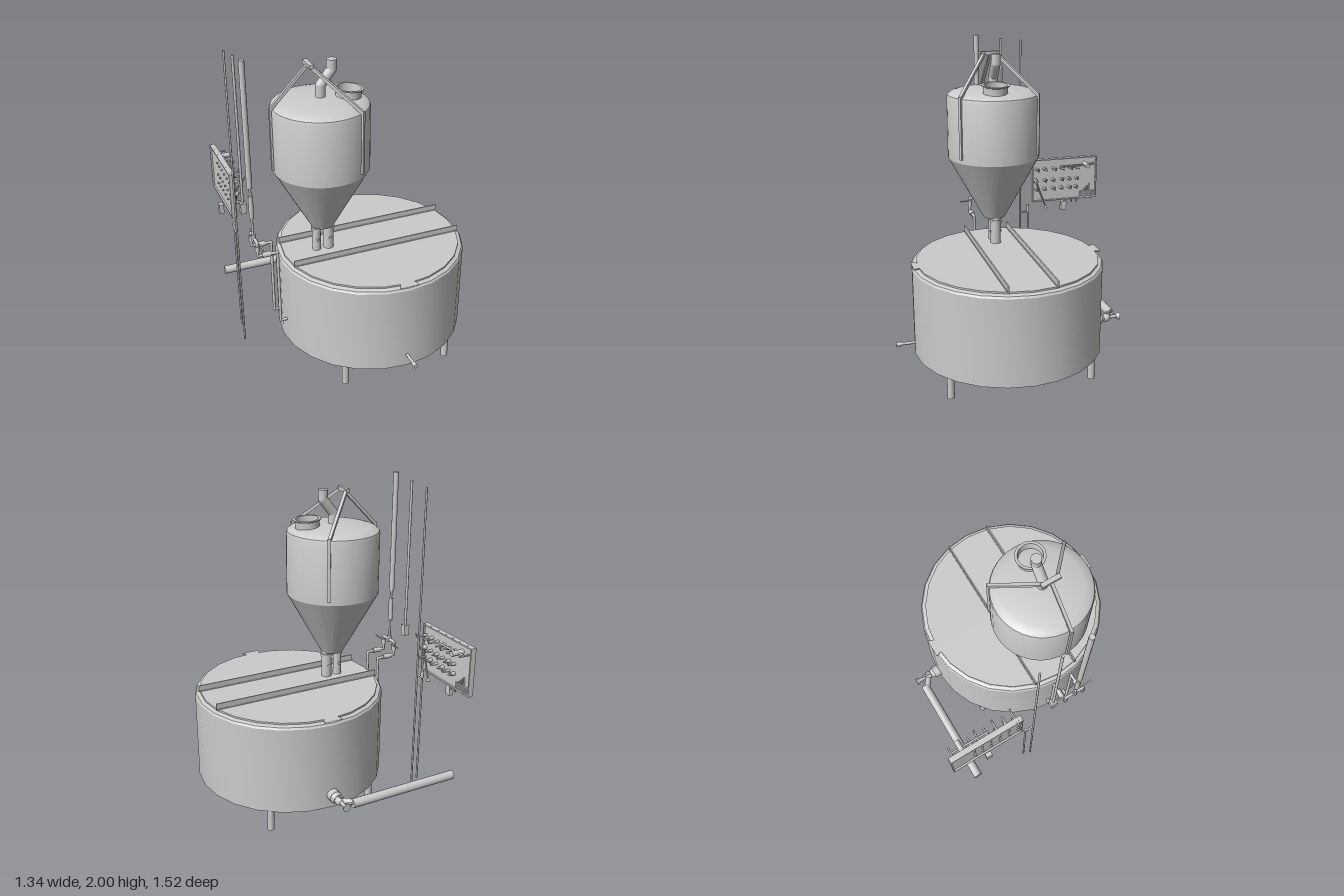
import * as THREE from 'three';
import { toCreasedNormals } from 'three/addons/utils/BufferGeometryUtils.js';

const mat = new THREE.MeshStandardMaterial({ color: 0xcccccc, side: THREE.DoubleSide });
const V = (p) => new THREE.Vector3(...p);

export function createModel() {
  const root = new THREE.Group();

  const add = (name, geo, pos = [0, 0, 0], parent = root) => {
    const m = new THREE.Mesh(geo, mat);
    m.name = name;
    m.position.set(...pos);
    parent.add(m);
    return m;
  };
  const group = (name) => {
    const g = new THREE.Group();
    g.name = name;
    root.add(g);
    return g;
  };
  const box = (name, size, pos, parent) => add(name, new THREE.BoxGeometry(...size), pos, parent);
  // cylinder between two points
  const rod = (name, a, b, r, parent, r2 = r, sides = 14) => {
    const d = V(b).sub(V(a));
    const m = add(name, new THREE.CylinderGeometry(r2, r, d.length(), sides), V(a).add(V(b)).multiplyScalar(0.5).toArray(), parent);
    m.quaternion.setFromUnitVectors(new THREE.Vector3(0, 1, 0), d.normalize());
    return m;
  };
  // pipe through a list of points with ball elbows
  const pipe = (name, pts, r, parent) => {
    for (let i = 0; i < pts.length - 1; i++) {
      rod(name, pts[i], pts[i + 1], r, parent);
      if (i) add(name + 'Elbow', new THREE.SphereGeometry(r, 12, 8), pts[i], parent);
    }
  };
  // rectangular strap between two points
  const strap = (name, a, b, w, t, parent) => {
    const d = V(b).sub(V(a));
    const m = box(name, [w, t, d.length()], V(a).add(V(b)).multiplyScalar(0.5).toArray(), parent);
    m.lookAt(V(b));
    return m;
  };
  const lathe = (name, pts, sides, pos, parent) =>
    add(name, toCreasedNormals(new THREE.LatheGeometry(pts.map((p) => new THREE.Vector2(...p)), sides), 0.45), pos, parent);

  // Main tank with bevelled shoulder and flat lid
  const TX = 0.095, TZ = 0.077;
  const tank = group('tank');
  lathe('tankBody', [[0, 0.215], [0.57, 0.215], [0.57, 0.745], [0.562, 0.757], [0.54, 0.765], [0.54, 0.775], [0, 0.775]], 24, [TX, 0, TZ], tank);
  for (const sx of [-1, 1]) for (const sz of [-1, 1]) {
    const x = TX + sx * 0.33, z = TZ + sz * 0.425;
    rod('tankLeg', [x, 0.08, z], [x, 0.22, z], 0.021, tank);
  }
  // Half-round lid handles at front and back
  for (const s of [-1, 1]) {
    const h = add('lidHandle', new THREE.CylinderGeometry(0.055, 0.055, 0.006, 16, 1, false, Math.PI / 2, Math.PI), [TX, 0.772, TZ + s * 0.57], tank);
    if (s < 0) h.rotation.y = Math.PI;
  }
  // Angle-section rails across the lid
  for (const z of [-0.065, 0.215]) {
    box('lidRail', [1.06, 0.04, 0.008], [0.095, 0.792, z], tank);
    box('lidRailFoot', [1.06, 0.006, 0.014], [0.095, 0.777, z], tank);
  }
  // Small drain at the front
  rod('drainPipe', [TX, 0.29, 0.63], [TX, 0.29, 0.755], 0.009, tank);
  rod('drainNozzle', [TX, 0.29, 0.725], [TX, 0.29, 0.76], 0.013, tank);

  // Hopper with cone, shoulder and domed top
  const HX = -0.207, HZ = 0.078;
  const hopper = group('hopper');
  lathe('hopperBody', [[0, 0.937], [0.067, 0.937], [0.277, 1.32], [0.277, 1.685], [0.272, 1.7], [0.255, 1.713], [0.22, 1.723], [0.12, 1.735], [0, 1.74]], 40, [HX, 0, HZ], hopper);
  for (const [x, r] of [[-0.245, 0.026], [-0.17, 0.032]]) {
    rod('outletPipe', [x, 0.77, HZ], [x, 0.945, HZ], r, hopper);
    rod('outletCollar', [x, 0.91, HZ], [x, 0.925, HZ], r + 0.006, hopper);
    rod('outletBolt', [x, 0.85, HZ - 0.037], [x, 0.85, HZ + 0.037], 0.008, hopper);
  }
  // Bent vent on top
  pipe('ventPipe', [[-0.205, 1.72, HZ], [-0.205, 1.8, HZ], [-0.138, 1.885, HZ], [-0.138, 1.942, HZ]], 0.029, hopper);
  // Open filling inlet with a flared rim
  const inlet = lathe('fillingInlet', [[0.072, -0.025], [0.072, 0.022], [0.083, 0.026], [0.083, 0.032], [0.068, 0.032], [0.066, -0.02]], 28, [-0.05, 1.745, 0.104], hopper);
  inlet.rotation.z = -0.08;
  // Lifting frame: head plate, three arms and straps down the wall
  const APEX = [-0.272, 1.93, HZ];
  box('liftingHead', [0.025, 0.022, 0.11], APEX, hopper);
  const arms = [[-0.493, HZ, 0], [-0.052, 0.313, 0.035], [-0.052, -0.157, -0.035]];
  for (const [x, z, dz] of arms) {
    const head = [APEX[0], APEX[1], HZ + dz];
    strap('liftingArm', head, [x, 1.705, z], 0.018, 0.018, hopper);
    const s = box('liftingStrap', [0.012, 0.37, 0.018], [x, 1.53, z], hopper);
    s.rotation.y = -Math.atan2(z - HZ, x - HX);
  }

  // Heating line: two pipes to the tank joined into a riser
  const heating = group('heatingLine');
  for (const s of [-1, 1]) {
    const z = 0.076 + s * 0.06;
    pipe('heatingPipe', [[-0.46, 0.36, z], [-0.507, 0.36, z], [-0.507, 0.845, z], [-0.625, 0.848, z], [-0.625, 0.935, z], [-0.625, 0.935, 0.076]], 0.009, heating);
    rod('pipeCoupling', [-0.6, 0.847, z], [-0.545, 0.847, z], 0.016, heating);
    rod('pipeValve', [-0.625, 0.88, z], [-0.625, 0.915, z], 0.014, heating);
    rod('valveStem', [-0.625, 0.92, z], [-0.607, 0.92, z], 0.006, heating);
    strap('valveHandle', [-0.609, 0.92, z], [-0.609, 0.92, z + s * 0.07], 0.008, 0.006, heating);
  }
  rod('riserThin', [-0.63, 0.935, 0.076], [-0.63, 1.28, 0.076], 0.007, heating);
  rod('riserCoupling', [-0.63, 1.07, 0.076], [-0.63, 1.21, 0.076], 0.014, heating);
  rod('riserTee', [-0.627, 0.92, 0.076], [-0.627, 0.96, 0.076], 0.014, heating);
  rod('riserThick', [-0.632, 1.26, 0.076], [-0.632, 2, 0.076], 0.016, heating);

  // Service poles
  const poles = group('servicePoles');
  rod('sensorPole', [-0.635, 1.08, -0.087], [-0.635, 1.975, -0.087], 0.008, poles);
  box('sensorBox', [0.035, 0.065, 0.038], [-0.635, 1.052, -0.087], poles);
  rod('tallPole', [-0.648, 0, -0.22], [-0.648, 1.96, -0.22], 0.006, poles);
  rod('shortPole', [-0.648, 0.09, -0.275], [-0.648, 0.84, -0.275], 0.006, poles);
  rod('shortPoleCap', [-0.648, 0.8, -0.275], [-0.648, 0.845, -0.275], 0.01, poles);
  rod('poleLink', [-0.648, 0.8, -0.275], [-0.648, 0.8, -0.215], 0.006, poles);

  // Control panel facing +x, with knobs and levers
  const panel = group('controlPanel');
  const PX = -0.635;
  box('panelBoard', [0.012, 0.295, 0.462], [PX, 1.018, -0.529], panel);
  for (const y of [0.875, 1.161]) box('panelEdge', [0.034, 0.008, 0.462], [PX, y, -0.529], panel);
  for (const z of [-0.302, -0.756]) box('panelEdge', [0.034, 0.295, 0.008], [PX, 1.018, z], panel);
  [-0.325, -0.385, -0.445, -0.505, -0.56, -0.61].forEach((z, i) => {
    [1.1, 1.02, 0.96].forEach((y, j) => {
      const end = j ? -0.585 : -0.562;
      rod('knobStem', [PX - 0.017, y, z], [end, y, z], 0.006, panel, 0.006, 8);
      rod('knobBase', [PX, y, z], [-0.6, y, z], (i + j) % 2 ? 0.012 : 0.009, panel, undefined, 10);
      if ((i + j) % 2 === 0) strap('knobLever', [end, y - 0.005, z], [end + 0.012, y + 0.02, z], 0.01, 0.006, panel);
    });
  });
  // Long lever, swing handle and cable comb
  rod('longLever', [-0.595, 1.112, -0.49], [-0.595, 1.118, -0.73], 0.006, panel);
  rod('longLeverPivot', [PX, 1.116, -0.67], [-0.55, 1.116, -0.67], 0.016, panel);
  rod('longLeverEnd', [PX, 1.118, -0.73], [-0.56, 1.118, -0.73], 0.005, panel);
  rod('swingHandle', [-0.61, 1.02, -0.32], [-0.61, 0.835, -0.39], 0.005, panel);
  add('swingKnob', new THREE.SphereGeometry(0.011, 12, 8), [-0.61, 0.833, -0.391], panel);
  rod('swingPivot', [PX, 1.02, -0.32], [-0.6, 1.02, -0.32], 0.015, panel);
  for (let i = 0; i < 5; i++) {
    box('cableStrip', [0.012, 0.006, 0.11], [-0.624, 0.883 + i * 0.009, -0.695], panel);
    box('cableRiser', [0.012, 0.05 + i * 0.012, 0.004], [-0.624, 0.9 + i * 0.006, -0.66 - i * 0.012], panel);
  }
  for (const z of [-0.585, -0.62]) rod('cableGland', [PX, 0.845, z], [PX, 0.88, z], 0.005, panel);
  box('junctionBox', [0.028, 0.062, 0.038], [-0.661, 0.82, -0.535], panel);

  // Discharge valve and long pipe behind the tank
  const discharge = group('discharge');
  const Y = 0.297;
  rod('dischargeNeck', [TX, Y, -0.46], [TX, Y, -0.53], 0.038, discharge);
  rod('dischargeReducer', [TX, Y, -0.53], [TX, Y, -0.55], 0.036, discharge, 0.022);
  add('dischargeBall', new THREE.SphereGeometry(0.027, 16, 12), [TX, Y, -0.568], discharge);
  rod('dischargeStem', [TX, Y, -0.56], [TX, Y, -0.645], 0.011, discharge);
  rod('dischargeCap', [TX, Y, -0.635], [TX, Y, -0.657], 0.014, discharge, 0.024);
  rod('dischargeBranch', [TX, Y, -0.565], [0.03, Y, -0.615], 0.018, discharge);
  rod('dischargeLink', [TX, Y, -0.622], [0.03, Y, -0.622], 0.006, discharge);
  strap('dischargeLever', [TX, Y + 0.025, -0.56], [TX, Y + 0.04, -0.61], 0.012, 0.008, discharge);
  rod('dischargePipe', [-0.653, Y - 0.005, -0.622], [0.04, Y - 0.005, -0.622], 0.027, discharge, 0.027, 20);

  return root;
}
